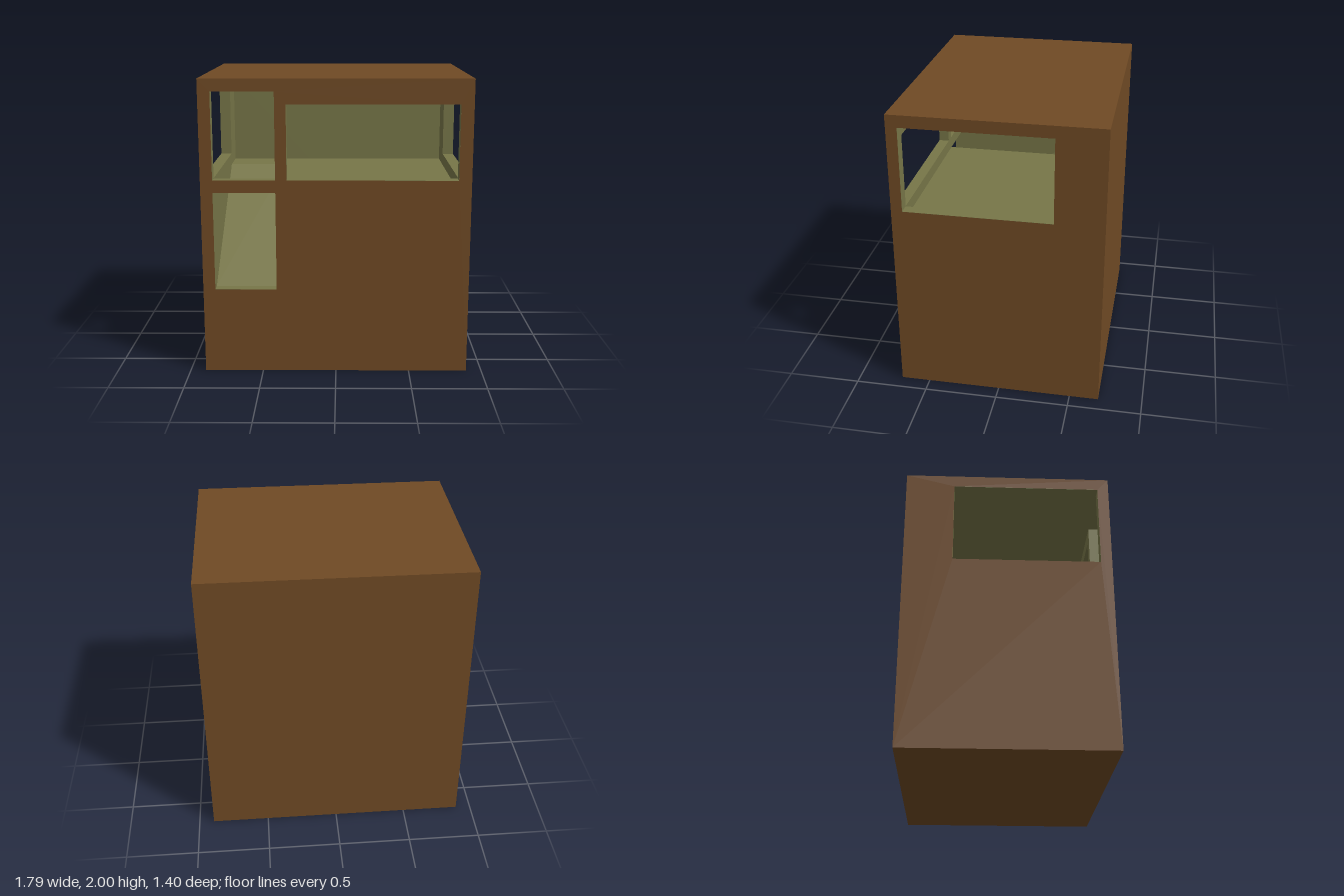
import * as THREE from 'three';

export function createModel() {
  const group = new THREE.Group();
  const brown = new THREE.MeshStandardMaterial({ color: 0x704a24 });
  brown.name = 'brown shell';
  const olive = new THREE.MeshStandardMaterial({ color: 0x777648 });
  olive.name = 'olive interior';

  // outer half width, height, half depth; inner faces; gap hides cores behind the skin
  const W = 0.896, H = 2, D = 0.7;
  const wi = 0.815, di = 0.625, ceiling = 1.917, gap = 0.002;
  const floorY = 1.25, sill = 1.333, stairX = -0.4, stairBack = -0.37, stairY = 0.583;

  const add = (name, geometry, material, parent = group) => {
    const mesh = new THREE.Mesh(geometry, material);
    mesh.name = name;
    parent.add(mesh);
    return mesh;
  };
  const rect = (P, x0, y0, x1, y1) => {
    const p = new P();
    p.moveTo(x0, y0).lineTo(x1, y0).lineTo(x1, y1).lineTo(x0, y1).lineTo(x0, y0);
    return p;
  };
  const panel = (halfW, y0, y1, holes) => {
    const shape = rect(THREE.Shape, -halfW, y0, halfW, y1);
    holes.forEach(h => shape.holes.push(rect(THREE.Path, ...h)));
    return shape;
  };
  const box = (name, x0, x1, y0, y1, z0, z1) => {
    const g = new THREE.BoxGeometry(x1 - x0, y1 - y0, z1 - z0);
    g.translate((x0 + x1) / 2, (y0 + y1) / 2, (z0 + z1) / 2);
    return add(name, g, olive);
  };

  // A wall faces its local +z: brown skin outside, olive core with the window reveals
  const wall = (name, halfW, coreHalfW, out, thickness, angle, holes) => {
    const g = new THREE.Group();
    g.name = name;
    add(name + 'Skin', new THREE.ShapeGeometry(panel(halfW, 0, H, holes)), brown, g).position.z = out;
    const core = new THREE.ExtrudeGeometry(panel(coreHalfW, gap, H - gap, holes),
      { depth: thickness - gap, bevelEnabled: false });
    add(name + 'Lining', core, olive, g).position.z = out - thickness;
    g.rotation.y = angle;
    group.add(g);
  };

  wall('frontWall', W, W - gap, D, D - di, 0, [
    [-wi, sill, stairX, ceiling],       // window over the stairs
    [-wi, stairY, stairX, floorY],      // stair entrance
    [-0.325, sill, 0.81, 1.835],        // wide window
  ]);
  wall('backWall', W, W - gap, D, D - di, Math.PI, []);
  // local x is -z on the left wall and +z on the right wall
  wall('leftWall', D, di, W, W - wi, Math.PI / 2, [[-di + 0.0005, sill, -stairBack, ceiling]]);
  wall('rightWall', D, di, W, W - wi, -Math.PI / 2, [[stairBack, sill, di - 0.0005, ceiling]]);

  // Top and bottom skins
  const roof = add('roof', new THREE.PlaneGeometry(2 * W, 2 * D), brown);
  roof.rotation.x = -Math.PI / 2;
  roof.position.y = H;
  const base = add('base', new THREE.PlaneGeometry(2 * W, 2 * D), brown);
  base.rotation.x = Math.PI / 2;

  // Room interior
  box('ceiling', -wi, wi, ceiling, H - gap, -di, di);
  box('roomFloor', stairX, wi, 0.4, floorY, -di, di);

  // Ramp rising from the entrance to the landing at the back
  const profile = new THREE.Shape();
  profile.moveTo(-di, 0.4).lineTo(di, 0.4).lineTo(di, floorY).lineTo(-stairBack, floorY)
    .lineTo(-di, stairY);
  const ramp = new THREE.ExtrudeGeometry(profile, { depth: stairX + wi, bevelEnabled: false });
  ramp.rotateY(Math.PI / 2);
  ramp.translate(-wi, 0, 0);
  add('stairRamp', ramp, olive);

  return group;
}
